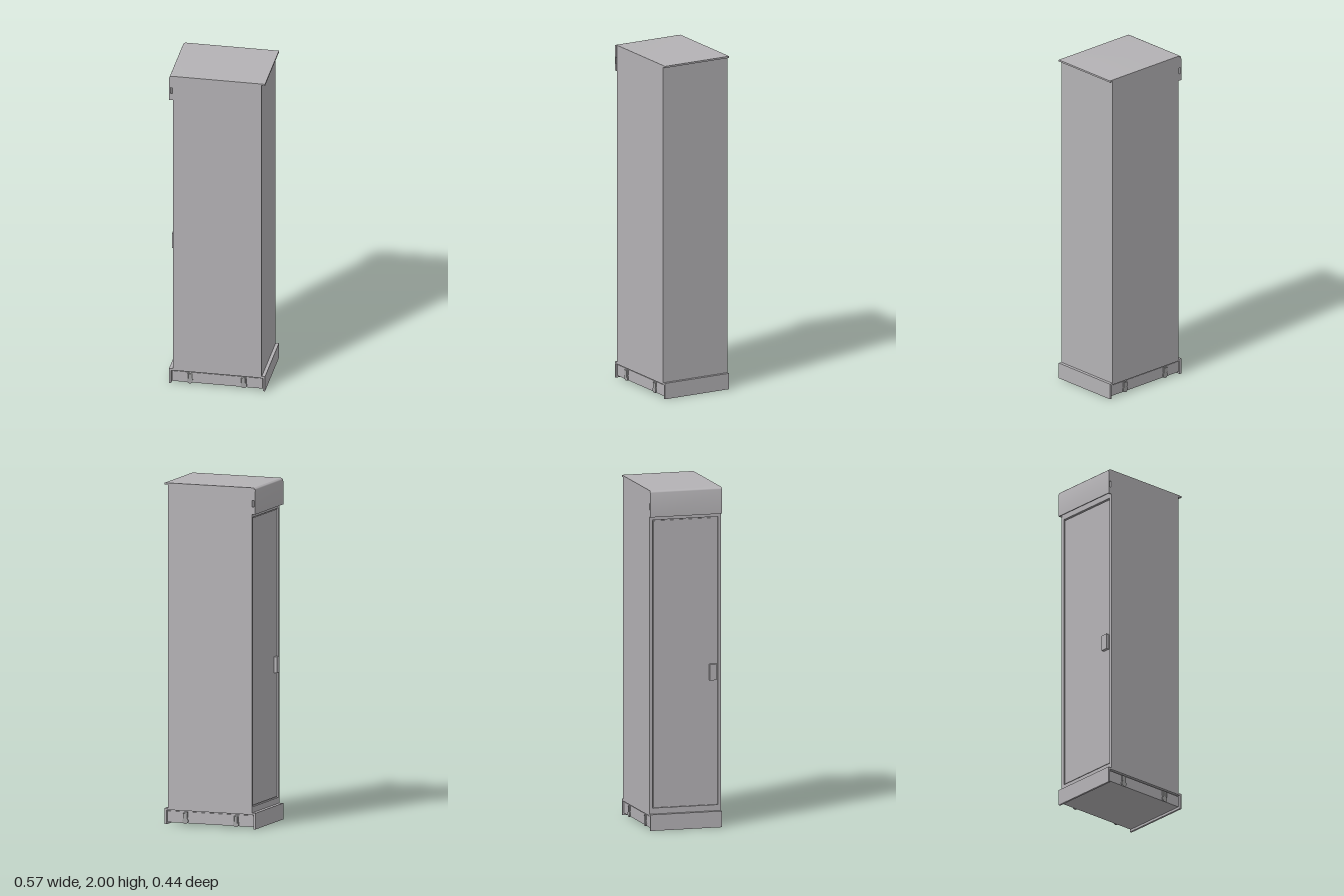
import * as THREE from 'three';
import { toCreasedNormals } from 'three/addons/utils/BufferGeometryUtils.js';

const HALF_X = 0.283; // overhang of top sheet and skirts
const HALF_Z = 0.217; // cabinet half depth

export function createModel() {
  const paint = new THREE.MeshStandardMaterial({ color: 0xb4b2b5 });
  paint.name = 'greyPaint';
  const metal = new THREE.MeshStandardMaterial({ color: 0xa2a2a3 });
  metal.name = 'latchMetal';
  const model = new THREE.Group();
  model.name = 'cabinet';

  const add = (name, geometry, material = paint, parent = model) => {
    const mesh = new THREE.Mesh(geometry, material);
    mesh.name = name;
    parent.add(mesh);
    return mesh;
  };
  // Box given by its limits on each axis
  const block = (name, [x0, x1], [y0, y1], [z0, z1], material, parent) => {
    const mesh = add(name, new THREE.BoxGeometry(x1 - x0, y1 - y0, z1 - z0), material, parent);
    mesh.position.set((x0 + x1) / 2, (y0 + y1) / 2, (z0 + z1) / 2);
    return mesh;
  };
  const rectPath = (x0, x1, y0, y1, Type = THREE.Path) => {
    const p = new Type();
    p.moveTo(x0, y0);
    p.lineTo(x1, y0);
    p.lineTo(x1, y1);
    p.lineTo(x0, y1);
    p.closePath();
    return p;
  };
  const extrude = (shape, depth) => toCreasedNormals(
    new THREE.ExtrudeGeometry(shape, { depth, bevelEnabled: false, curveSegments: 8 }), 0.6);

  // Body
  block('body', [-0.248, 0.262], [0.085, 1.99], [-HALF_Z, HALF_Z]);
  block('sidePanel', [0.262, 0.264], [0.095, 1.99], [-0.205, 0.205]);

  // Door frame and recessed door on the -x side
  const frame = rectPath(-HALF_Z, HALF_Z, 0.085, 1.99, THREE.Shape);
  frame.holes.push(rectPath(-0.198, 0.198, 0.13, 1.825));
  const frameGeometry = extrude(frame, 0.012);
  frameGeometry.rotateY(-Math.PI / 2);
  add('doorFrame', frameGeometry).position.x = -0.248;
  block('door', [-0.254, -0.247], [0.136, 1.819], [-0.192, 0.192]);
  block('handle', [-0.272, -0.253], [0.865, 0.96], [0.145, 0.187]);

  // Top sheet bent down into a hood over the door
  const sheet = new THREE.Shape();
  sheet.moveTo(HALF_X, 1.99);
  sheet.lineTo(HALF_X, 2);
  sheet.lineTo(-HALF_X + 0.02, 2);
  sheet.quadraticCurveTo(-HALF_X, 2, -HALF_X, 1.98);
  sheet.lineTo(-HALF_X, 1.845);
  sheet.lineTo(-HALF_X + 0.004, 1.845);
  sheet.lineTo(-HALF_X + 0.004, 1.978);
  sheet.quadraticCurveTo(-HALF_X + 0.006, 1.99, -HALF_X + 0.02, 1.99);
  sheet.closePath();
  add('topSheet', extrude(sheet, HALF_Z * 2)).position.z = -HALF_Z;

  // Slotted hood ends
  const cheek = new THREE.Shape();
  cheek.moveTo(-HALF_X + 0.001, 1.845);
  cheek.lineTo(-0.26, 1.845);
  cheek.lineTo(-0.26, 1.995);
  cheek.lineTo(-0.265, 1.995);
  cheek.quadraticCurveTo(-HALF_X + 0.001, 1.995, -HALF_X + 0.001, 1.978);
  cheek.closePath();
  cheek.holes.push(rectPath(-0.275, -0.263, 1.887, 1.925));
  for (const z of [-HALF_Z - 0.0005, HALF_Z - 0.0045]) {
    add('hoodEnd', extrude(cheek, 0.005)).position.z = z;
  }

  // Base tray between the two skirts
  block('baseTray', [-0.268, 0.268], [0.012, 0.078], [-0.208, 0.208]);
  block('baseGap', [-0.262, 0.262], [0.078, 0.085], [-0.2, 0.2]);
  for (const s of [-1, 1]) {
    const span = (a, b) => [Math.min(s * a, s * b), Math.max(s * a, s * b)];
    block('skirt', span(0.271, HALF_X), [0, 0.095], [-HALF_Z, HALF_Z]);
    block('skirtFlange', span(0.259, 0.272), [0.083, 0.095], [-HALF_Z, HALF_Z]);
  }

  // Toggle latches, two at the front and two at the back
  for (const side of [0, Math.PI]) {
    for (const x of [-0.16, 0.157]) {
      const latch = new THREE.Group();
      latch.name = 'latch';
      block('latchPlate', [-0.015, 0.015], [0.045, 0.077], [0, 0.004], metal, latch);
      block('latchLever', [-0.009, 0.009], [0.028, 0.07], [0.003, 0.008], metal, latch);
      const knob = add('latchKnob', new THREE.CylinderGeometry(0.018, 0.018, 0.007, 20), metal, latch);
      knob.rotation.x = Math.PI / 2;
      knob.position.set(0, 0.026, 0.0035);
      for (const s of [-1, 1]) {
        const pin = add('latchPin', new THREE.CylinderGeometry(0.003, 0.003, 0.03, 10), metal, latch);
        pin.position.set(s * 0.012, 0.055, 0.005);
      }
      latch.position.set(x, 0, side ? -0.208 : 0.208);
      latch.rotation.y = side;
      model.add(latch);
    }
  }
  return model;
}
